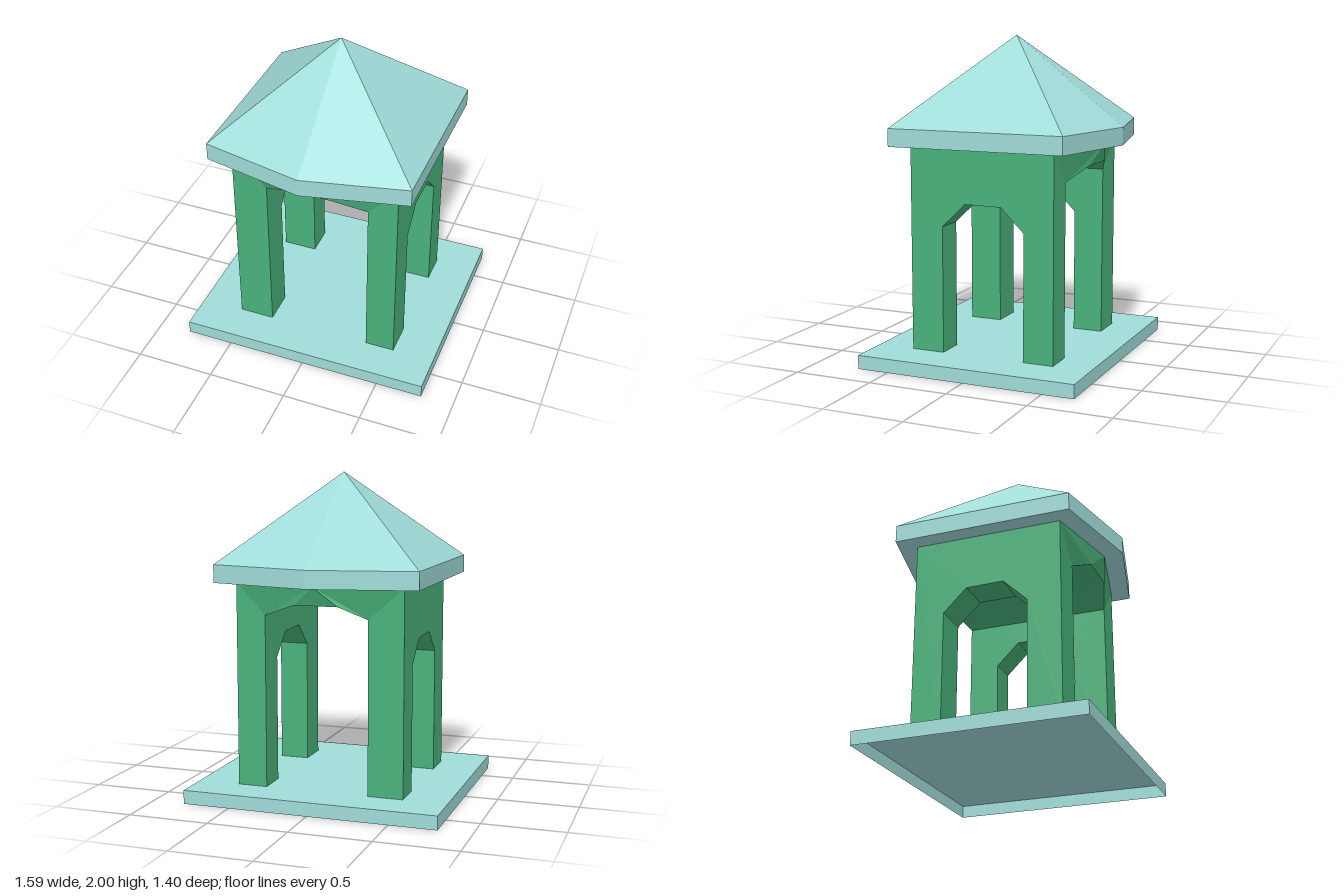
import * as THREE from 'three';

const teal = new THREE.MeshStandardMaterial({ color: 0xa0dcd9, side: THREE.DoubleSide });
teal.name = 'pale teal';
const green = new THREE.MeshStandardMaterial({ color: 0x49b27b, side: THREE.DoubleSide });
green.name = 'green';

// Flat-shaded mesh from a list of convex polygons, corners counter-clockwise
function facets(name, polygons, material) {
  const pos = [];
  for (const p of polygons) {
    for (let i = 1; i < p.length - 1; i++) pos.push(...p[0], ...p[i], ...p[i + 1]);
  }
  const geo = new THREE.BufferGeometry();
  geo.setAttribute('position', new THREE.Float32BufferAttribute(pos, 3));
  geo.computeVertexNormals();
  return named(name, geo, material);
}

function named(name, geo, material) {
  const mesh = new THREE.Mesh(geo, material);
  mesh.name = name;
  return mesh;
}

// Open-bottomed base: thin deck with a skirt
function makeBase() {
  const group = new THREE.Group();
  group.name = 'base';
  const w = 0.795, d = 0.7, top = 0.085;
  const deck = new THREE.BoxGeometry(2 * w, 0.008, 2 * d).translate(0, top - 0.004, 0);
  group.add(named('deck', deck, teal));
  const ring = [[-w, d], [w, d], [w, -d], [-w, -d]];
  const skirt = ring.map(([x, z], i) => {
    const [x2, z2] = ring[(i + 1) % 4];
    return [[x, 0, z], [x2, 0, z2], [x2, top, z2], [x, top, z]];
  });
  group.add(facets('baseSkirt', skirt, teal));
  return group;
}

// Side wall with two piers and a faceted arch, extruded across x
function makeWall(name, xMin, xMax) {
  const outline = [
    [-0.465, 0.081], [-0.275, 0.081], [-0.275, 0.865], [-0.13, 1.007], [0.105, 1.01],
    [0.255, 0.865], [0.255, 0.081], [0.465, 0.081], [0.465, 1.35], [-0.465, 1.35],
  ];
  const shape = new THREE.Shape(outline.map(([z, y]) => new THREE.Vector2(z, y)));
  const geo = new THREE.ExtrudeGeometry(shape, { depth: xMax - xMin, bevelEnabled: false });
  geo.rotateY(-Math.PI / 2).translate(xMax, 0, 0);
  return named(name, geo, green);
}

// Vaulted ceiling between the walls, with bulging fascias front and back
function makeVault() {
  const arch = [[-0.305, 1.15, 0.465], [-0.14, 1.228, 0.535], [0.13, 1.228, 0.535], [0.345, 1.15, 0.465]];
  const peak = [0, 1.346, 0.58];
  const cornerR = [-0.525, 1.346, 0.465], cornerL = [0.53, 1.346, 0.465];
  const back = ([x, y, z]) => [x, y, -z];
  const fascia = [
    [cornerR, arch[0], arch[1], peak],
    [arch[1], arch[2], peak],
    [cornerL, peak, arch[2], arch[3]],
  ];
  const ceiling = [0, 1, 2].map((i) => [arch[i], back(arch[i]), back(arch[i + 1]), arch[i + 1]]);
  const group = new THREE.Group();
  group.name = 'vault';
  group.add(facets('vaultCeiling', ceiling, green));
  group.add(facets('frontFascia', fascia, green));
  group.add(facets('backFascia', fascia.map((p) => p.map(back).reverse()), green));
  return group;
}

// Six-sided roof: solid eave band below a pyramid
function makeRoof() {
  const low = 1.345, mid = 1.455, apex = [0, 2, 0];
  const plan = [[-0.637, 0.56], [0, 0.7], [0.637, 0.56], [0.637, -0.56], [0, -0.7], [-0.637, -0.56]];
  const band = [], slopes = [];
  plan.forEach(([x, z], i) => {
    const [x2, z2] = plan[(i + 1) % plan.length];
    band.push([[x, low, z], [x2, low, z2], [x2, mid, z2], [x, mid, z]]);
    slopes.push([[x, mid, z], [x2, mid, z2], apex]);
  });
  const soffit = plan.map(([x, z]) => [x, low, z]).reverse();
  const group = new THREE.Group();
  group.name = 'roof';
  group.add(facets('eaveBand', band, teal));
  group.add(facets('roofSlopes', slopes, teal));
  group.add(facets('soffit', [soffit], teal));
  return group;
}

export function createModel() {
  const model = new THREE.Group();
  model.name = 'pavilion';
  model.add(makeBase());
  model.add(makeWall('rightWall', -0.525, -0.305));
  model.add(makeWall('leftWall', 0.345, 0.53));
  model.add(makeVault());
  model.add(makeRoof());
  return model;
}
